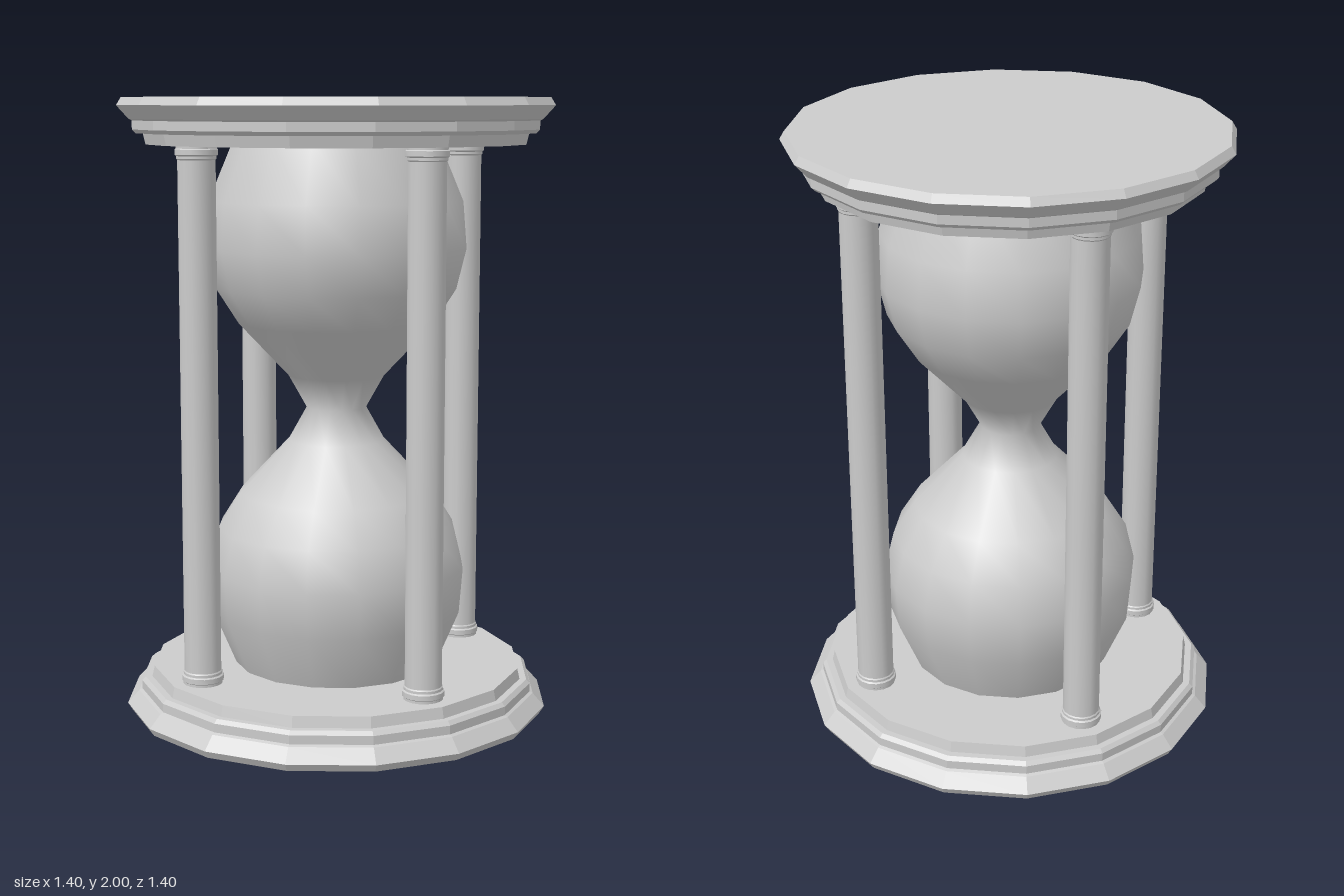
import * as THREE from 'three';
import { toCreasedNormals } from 'three/addons/utils/BufferGeometryUtils.js';

const SIDES = 16;
const lathe = (pts) => new THREE.LatheGeometry(pts.map(([r, y]) => new THREE.Vector2(r, y)), SIDES);

// Half a profile below y = 1, completed by its mirror image above
const mirrored = (half) => [...half, ...half.map(([r, y]) => [r, 2 - y]).reverse()];

export function createModel() {
  const group = new THREE.Group();
  const smooth = new THREE.MeshStandardMaterial({ color: 0xcccccc });
  const flat = new THREE.MeshStandardMaterial({ color: 0xcccccc, flatShading: true });
  const add = (name, geometry, material) => {
    const mesh = new THREE.Mesh(geometry, material);
    mesh.name = name;
    group.add(mesh);
    return mesh;
  };

  // Stepped, faceted end plates
  const plate = [
    [0, 0], [0.685, 0], [0.7, 0.025], [0.662, 0.067], [0.652, 0.072], [0.652, 0.1],
    [0.64, 0.112], [0.618, 0.112], [0.61, 0.147], [0, 0.147],
  ];
  add('basePlate', lathe(plate), flat);
  add('topPlate', lathe(plate.map(([r, y]) => [r, 2 - y]).reverse()), flat);

  // Double glass bulb with a narrow neck
  const bulb = [
    [0.335, 0.14], [0.413, 0.325], [0.425, 0.475], [0.393, 0.605], [0.32, 0.72], [0.158, 0.893],
  ];
  const bulbProfile = mirrored(bulb);
  bulbProfile.splice(bulb.length, 0, [0.098, 1]);
  add('glassBulb', lathe(bulbProfile), smooth);

  // Four columns with collars at both ends
  const column = toCreasedNormals(lathe(mirrored([
    [0.063, 0.14], [0.063, 0.155], [0.067, 0.158], [0.067, 0.174],
    [0.062, 0.178], [0.062, 0.186], [0.059, 0.19],
  ])), 0.5);
  for (let i = 0; i < 4; i++) {
    const a = (i * Math.PI) / 2;
    add('column' + (i + 1), column, smooth).position.set(0.507 * Math.cos(a), 0, 0.507 * Math.sin(a));
  }
  return group;
}
